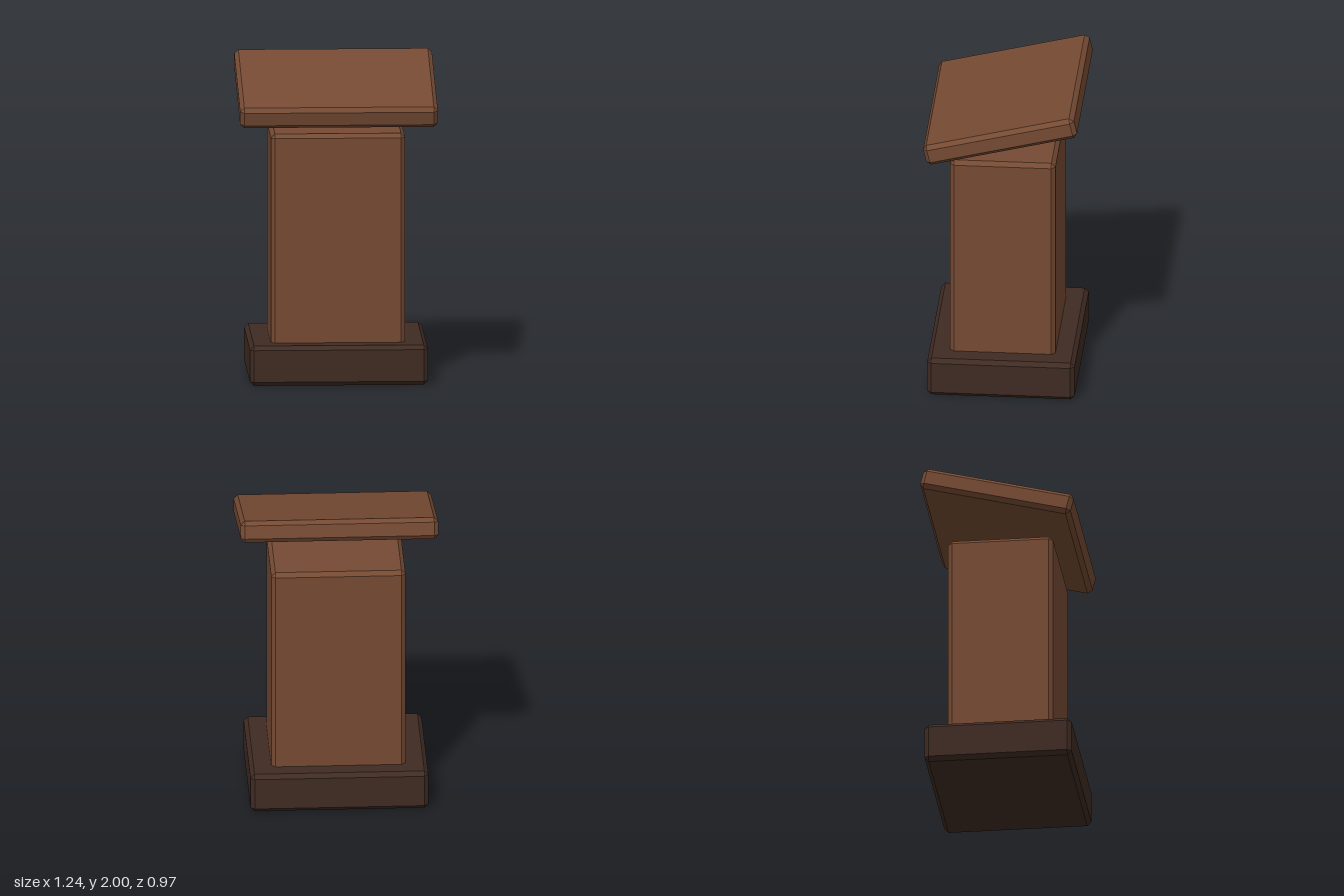
import * as THREE from 'three';
import { ConvexGeometry } from 'three/addons/geometries/ConvexGeometry.js';

// Box with flat chamfers on every edge, centred on its origin
function chamferBox(w, h, d, b) {
  const points = [];
  for (const sx of [-1, 1]) for (const sy of [-1, 1]) for (const sz of [-1, 1]) {
    const x = sx * w / 2, y = sy * h / 2, z = sz * d / 2;
    points.push(
      new THREE.Vector3(x, y - sy * b, z - sz * b),
      new THREE.Vector3(x - sx * b, y, z - sz * b),
      new THREE.Vector3(x - sx * b, y - sy * b, z)
    );
  }
  return new ConvexGeometry(points);
}

export function createModel() {
  const model = new THREE.Group();
  model.name = 'lectern';

  const wood = new THREE.MeshStandardMaterial({ color: 0x754a33 });
  wood.name = 'brown wood';
  const darkWood = new THREE.MeshStandardMaterial({ color: 0x3f2b22 });
  darkWood.name = 'dark wood';

  const bevel = 0.026;
  const addBlock = (name, w, h, d, y, material) => {
    const mesh = new THREE.Mesh(chamferBox(w, h, d, bevel), material);
    mesh.name = name;
    mesh.position.y = y;
    model.add(mesh);
    return mesh;
  };

  // Plinth on the floor
  addBlock('base', 1.12, 0.254, 0.93, 0.127, darkWood);

  // Column, its foot sunk into the plinth
  addBlock('column', 0.845, 1.365, 0.665, 0.9, wood);

  // Floating reading desk, tilted down towards the front
  const desk = addBlock('readingDesk', 1.244, 0.137, 0.98, 1.821, wood);
  desk.rotation.x = THREE.MathUtils.degToRad(14);

  return model;
}
